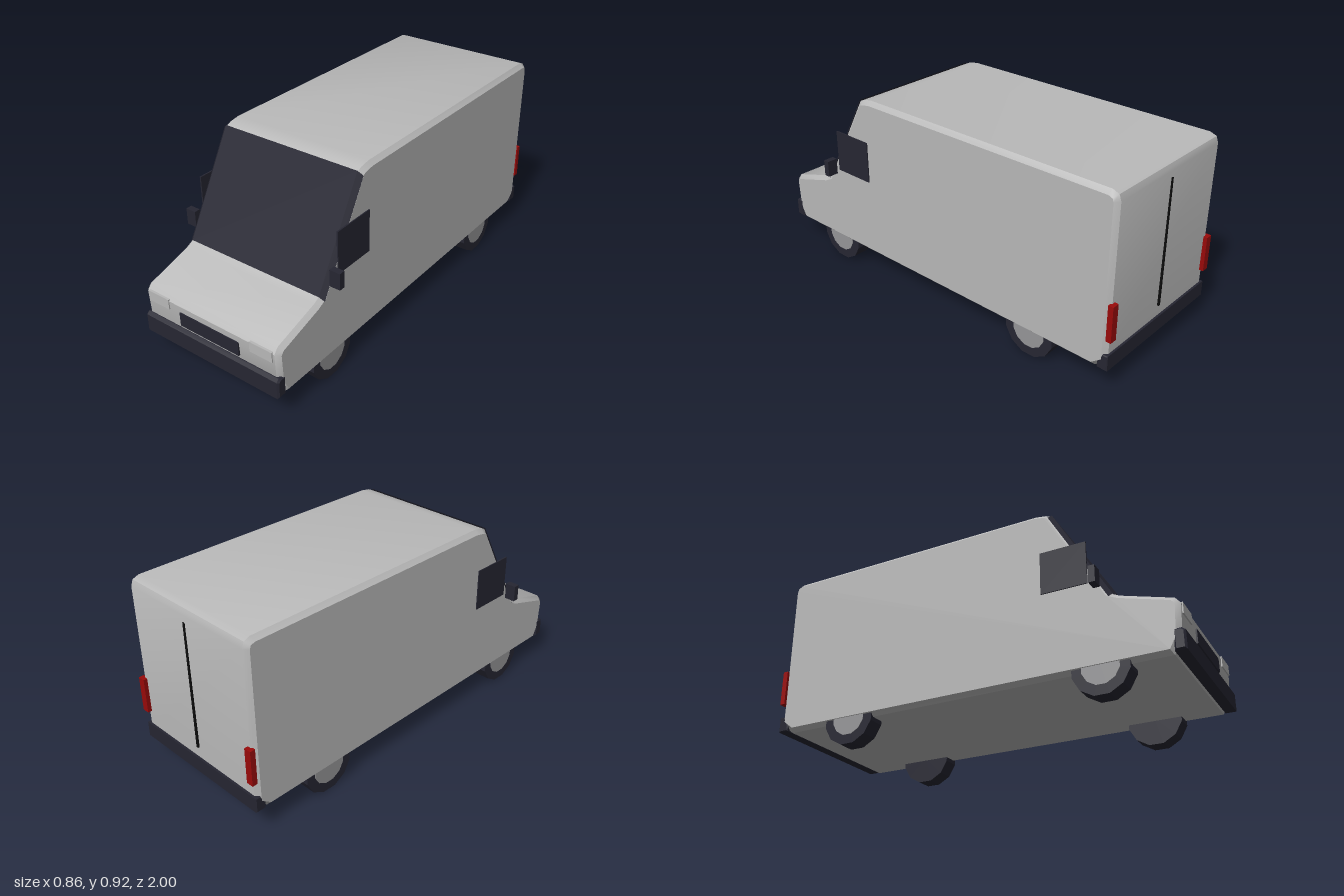
import * as THREE from 'three';
import { toCreasedNormals } from 'three/addons/utils/BufferGeometryUtils.js';

const material = (name, color) => {
  const m = new THREE.MeshStandardMaterial({ color });
  m.name = name;
  return m;
};

export function createModel() {
  const van = new THREE.Group();
  van.name = 'van';
  const paint = material('silver paint', 0xb9b9b9);
  const dark = material('dark glass and trim', 0x262632);
  const lamp = material('headlight', 0xb8b8b8);
  const red = material('red lamp', 0x9a0a0a);
  const steel = material('hub steel', 0x969698);
  const black = material('door gap', 0x0c0c0c);
  dark.side = THREE.DoubleSide;

  const add = (name, geometry, mat) => {
    const mesh = new THREE.Mesh(geometry, mat);
    mesh.name = name;
    van.add(mesh);
    return mesh;
  };
  // Box given by its min and max on each axis
  const box = (name, mat, [x0, x1], [y0, y1], [z0, z1]) => {
    const mesh = add(name, new THREE.BoxGeometry(x1 - x0, y1 - y0, z1 - z0), mat);
    mesh.position.set((x0 + x1) / 2, (y0 + y1) / 2, (z0 + z1) / 2);
  };
  // Side profile of (z, y) points, extruded across the van with chamfered edges
  const slab = (name, mat, points, halfWidth, bevel) => {
    const shape = new THREE.Shape(points.map(([z, y]) => new THREE.Vector2(z, y)));
    const depth = 2 * (halfWidth - bevel);
    const g = new THREE.ExtrudeGeometry(shape, {
      depth, bevelEnabled: true, bevelSegments: 1,
      bevelSize: bevel, bevelThickness: bevel, bevelOffset: -bevel,
    });
    g.translate(0, 0, -depth / 2).rotateY(-Math.PI / 2);
    return add(name, toCreasedNormals(g, 0.6), mat);
  };

  // Body shell
  slab('body', paint, [
    [0.945, 0.113], [0.98, 0.18], [0.988, 0.33], [0.965, 0.358], [0.74, 0.425], [0.7, 0.445],
    [0.445, 0.9], [0.42, 0.912], [0.37, 0.92], [-0.945, 0.92], [-0.975, 0.908],
    [-0.985, 0.88], [-0.98, 0.16], [-0.92, 0.113],
  ], 0.375, 0.02);

  // Windscreen, wrapping over the chamfers at both sides
  const columns = [[-0.378, 0.02], [-0.356, 0], [0.356, 0], [0.378, 0.02]];
  const points = [];
  const faces = [];
  columns.forEach(([x, inset], i) => {
    points.push(x, 0.442 - inset, 0.71 - inset * 0.6);
    points.push(x, 0.905 - inset, 0.449 - inset * 0.6);
    const a = i * 2;
    if (i < 3) faces.push(a, a + 2, a + 3, a, a + 3, a + 1);
  });
  const screen = new THREE.BufferGeometry();
  screen.setAttribute('position', new THREE.Float32BufferAttribute(points, 3));
  screen.setIndex(faces);
  add('windscreen', toCreasedNormals(screen, 0.4), dark);

  // Bumpers, grille and rear door gap
  slab('frontBumper', dark, [[0.95, 0.122], [1, 0.122], [1, 0.205], [0.985, 0.217], [0.95, 0.217]], 0.377, 0.008);
  slab('rearBumper', dark, [[-0.94, 0.122], [-0.94, 0.15], [-0.965, 0.195], [-0.99, 0.195], [-0.99, 0.122]], 0.375, 0.004);
  box('grille', dark, [-0.165, 0.165], [0.234, 0.3], [0.97, 0.992]);
  box('doorGap', black, [-0.005, 0.005], [0.25, 0.85], [-0.989, -0.98]);

  // Parts mirrored left and right
  for (const s of [1, -1]) {
    const side = s > 0 ? 'left' : 'right';
    const span = (a, b) => (s > 0 ? [a, b] : [-b, -a]);
    box(side + 'Headlight', lamp, span(0.227, 0.345), [0.289, 0.338], [0.965, 0.992]);
    box(side + 'TailLight', red, span(0.34, 0.375), [0.265, 0.435], [-1, -0.975]);
    box(side + 'Window', dark, span(0.373, 0.38), [0.507, 0.71], [0.395, 0.61]);
    box(side + 'Mirror', dark, span(0.375, 0.428), [0.478, 0.557], [0.633, 0.663]);

    // Wheels with hub discs on the outside
    for (const z of [0.645, -0.585]) {
      const end = z > 0 ? 'Front' : 'Rear';
      const tire = new THREE.CylinderGeometry(0.13, 0.13, 0.082, 12);
      const hub = new THREE.CylinderGeometry(0.085, 0.085, 0.02, 12);
      for (const g of [tire, hub]) g.rotateZ(Math.PI / 2).rotateX(Math.PI / 12);
      add(side + end + 'Tire', toCreasedNormals(tire, 0.3), dark).position.set(s * 0.33, 0.128, z);
      add(side + end + 'Hub', toCreasedNormals(hub, 0.3), steel).position.set(s * 0.363, 0.128, z);
    }
  }
  return van;
}
